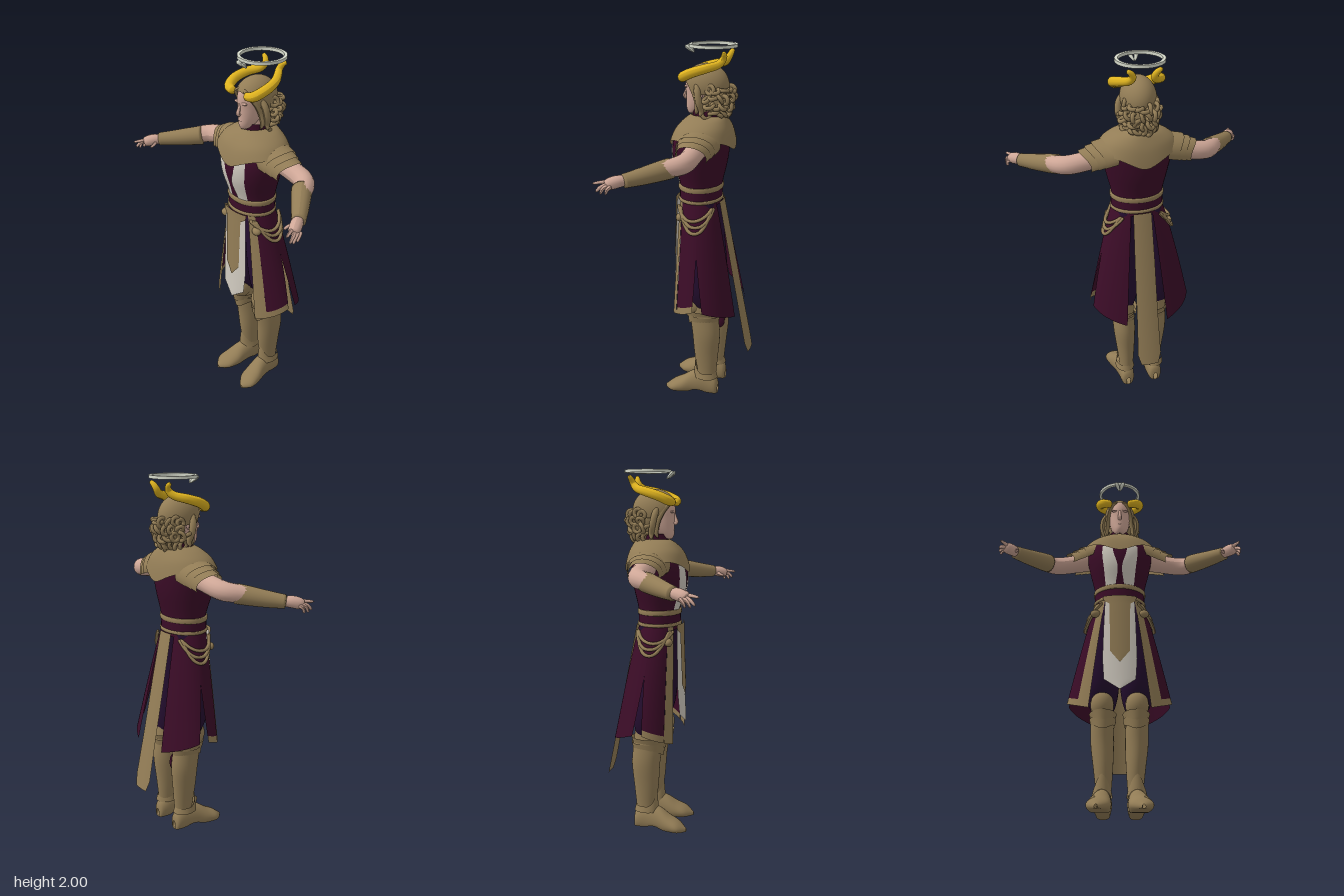
import * as THREE from 'three';
import { mergeVertices } from 'three/addons/utils/BufferGeometryUtils.js';

const mat = (name, color) => {
  const m = new THREE.MeshStandardMaterial({ color, side: THREE.DoubleSide });
  m.name = name;
  return m;
};
const D = Math.PI / 180;
const { lerp, clamp } = THREE.MathUtils;

// Smooth interpolation through rows of numbers, t from 0 to 1
const spline = (rows) => (t) => {
  const s = clamp(t, 0, 1) * (rows.length - 1), i = Math.min(Math.floor(s), rows.length - 2), f = s - i;
  const r = (k) => rows[clamp(k, 0, rows.length - 1)];
  return rows[0].map((_, c) => {
    const a = r(i - 1)[c], b = r(i)[c], d = r(i + 1)[c], e = r(i + 2)[c];
    return b + 0.5 * f * (d - a + f * (2 * a - 5 * b + 4 * d - e + f * (3 * (b - d) + e - a)));
  });
};

// Surface from a rule fn(u, v) -> [x, y, z]
function sheet(fn, nu, nv) {
  const pos = [], idx = [];
  for (let j = 0; j <= nv; j++) for (let i = 0; i <= nu; i++) pos.push(...fn(i / nu, j / nv));
  for (let j = 0; j < nv; j++) for (let i = 0; i < nu; i++) {
    const a = j * (nu + 1) + i, b = a + nu + 1;
    idx.push(a, a + 1, b + 1, a, b + 1, b);
  }
  let g = new THREE.BufferGeometry();
  g.setAttribute('position', new THREE.Float32BufferAttribute(pos, 3));
  g.setIndex(idx);
  g = mergeVertices(g, 1e-5);
  g.computeVertexNormals();
  return g;
}

// Upright loft of ellipses, rows of [y, rx, rz, cx, cz]
function loft(rows, seg = 28, steps = 4) {
  const f = spline(rows);
  return sheet((u, v) => {
    const [y, rx, rz, cx, cz] = f(v), a = Math.PI + u * 2 * Math.PI;
    return [cx + rx * Math.sin(a), y, cz + rz * Math.cos(a)];
  }, seg, (rows.length - 1) * steps);
}

// Tapering tube, points of [x, y, z, radius], closed at both ends
function limb(pts, n = 20, seg = 12) {
  const curve = new THREE.CatmullRomCurve3(pts.map((p) => new THREE.Vector3(...p)));
  const g = new THREE.TubeGeometry(curve, n, 1, seg), p = g.attributes.position;
  const rad = spline(pts.map((q) => [q[3]])), c = new THREE.Vector3(), q = new THREE.Vector3();
  for (let i = 0; i < p.count; i++) {
    const k = Math.floor(i / (seg + 1)), t = k / n;
    curve.getPointAt(t, c);
    const r = k === 0 || k === n ? 0.0005 : rad(curve.getUtoTmapping(t))[0];
    q.fromBufferAttribute(p, i).sub(c).multiplyScalar(r).add(c);
    p.setXYZ(i, q.x, q.y, q.z);
  }
  g.computeVertexNormals();
  return g;
}

const ball = (x, y, z, rx, ry, rz) => new THREE.SphereGeometry(1, 24, 16).scale(rx, ry, rz).translate(x, y, z);

// Hanging strip, rows of [y, half width, z]
const strip = (rows, bend = 2) => sheet((u, v) => {
  const [y, w, z] = spline(rows)(1 - v), x = (u * 2 - 1) * w;
  return [x, y, z - bend * x * x];
}, 8, rows.length - 1);

// Flared skirt: angle in degrees from the front, v from waist to hem
function skirt(a, v, off = 0) {
  const s = Math.sin(a * D), c = Math.cos(a * D);
  const hemY = 0.61 - 0.08 * Math.min(1, Math.abs(a - 95) / 60);
  const e = Math.pow(v, 0.9);
  return [(lerp(0.14, 0.285, e) + off) * s, lerp(1.17, hemY, v), lerp(-0.018, -0.06, e) + (lerp(0.112, c > 0 ? 0.185 : 0.21, e) + off) * c];
}

export function createModel() {
  const tan = mat('tan leather', 0x937d56), plum = mat('plum cloth', 0x3b0c27), dark = mat('dark violet cloth', 0x240e2f);
  const ivory = mat('ivory cloth', 0xd0cabf), skin = mat('skin', 0xcfa797), gold = mat('horn gold', 0xdfb31f), pale = mat('halo silver', 0xd6dacb);
  const root = new THREE.Group();
  root.name = 'hornedKnight';
  const left = new THREE.Group(), right = new THREE.Group();
  left.name = 'leftSide';
  right.name = 'rightSide';
  right.scale.x = -1;
  root.add(left, right);
  const add = (name, geo, m, parent = root) => {
    const mesh = new THREE.Mesh(geo, m);
    mesh.name = name;
    parent.add(mesh);
    return mesh;
  };
  const pair = (name, geo, m) => [left, right].forEach((s) => add(name, geo, m, s));

  // Torso, its ivory panels and the belt
  const torso = [[1.15, 0.138, 0.11, 0, -0.018], [1.25, 0.138, 0.112, 0, -0.02], [1.38, 0.168, 0.145, 0, -0.015], [1.48, 0.186, 0.15, 0, -0.02],
    [1.55, 0.17, 0.135, 0, -0.035], [1.59, 0.1, 0.09, 0, -0.05], [1.605, 0.01, 0.01, 0, -0.05]];
  add('tunic', loft(torso, 36), plum);
  const tf = spline(torso), panelX = spline([[0.024, 0.08], [0.012, 0.09], [0.034, 0.1], [0.045, 0.1]]);
  pair('chestPanel', sheet((u, v) => {
    const [y, rx, rz, , cz] = tf((1.05 + v * 2.2) / 6), [x0, x1] = panelX(v), x = lerp(x0, x1, u);
    return [x, y, cz + rz * Math.sqrt(1 - (x / rx) ** 2) + 0.004];
  }, 6, 14), ivory);
  add('sash', loft([[1.17, 0.142, 0.114, 0, -0.018], [1.25, 0.142, 0.116, 0, -0.019]]), plum);
  for (const [y, h] of [[1.178, 0.01], [1.245, 0.014]]) {
    add('beltBand', loft([[y - h, 0.138, 0.11, 0, -0.018], [y - h + 0.003, 0.147, 0.12, 0, -0.018], [y + h - 0.003, 0.147, 0.12, 0, -0.018], [y + h, 0.138, 0.11, 0, -0.018]]), tan);
  }

  // Shoulder mantle with points at front and back
  const mantle = spline([[0.072, 0.09, 1.632, -0.055], [0.13, 0.118, 1.612, -0.045], [0.185, 0.152, 1.575, -0.035], [0.222, 0.173, 1.525, -0.03]]);
  add('mantle', sheet((u, v) => {
    const a = Math.PI + u * 2 * Math.PI, [rx, rz, y, cz] = mantle(1 - v), c = Math.abs(Math.cos(a));
    return [rx * Math.sin(a), y - (1 - v) ** 2 * (0.05 * c ** 5 + 0.018 * c ** 24), cz + rz * Math.cos(a)];
  }, 64, 14), tan);
  // Layered shoulder plates
  for (let k = 0; k < 3; k++) {
    pair('shoulderPlate', sheet((u, v) => {
      const t = (u * 2 - 1) * 105 * D, s = Math.sin(t);
      const r = lerp(0.085, 0.082, v) - 0.006 * k, x = lerp(0.13 + 0.04 * k, 0.245 + 0.035 * k, v) - 0.05 * s * s * v;
      return [x, 1.5 - 0.012 * k - 0.02 * v + r * Math.cos(t), -0.045 + (0.118 - 0.012 * k - 0.012 * v) * s];
    }, 24, 6), tan);
  }

  // Arms, bracers and hands
  pair('arm', limb([[0.15, 1.5, -0.05, 0.06], [0.26, 1.475, -0.055, 0.052], [0.38, 1.455, -0.04, 0.05], [0.46, 1.44, 0.05, 0.042], [0.55, 1.42, 0.15, 0.03]], 28, 16), skin);
  pair('bracer', limb([[0.405, 1.445, -0.002, 0.052], [0.45, 1.436, 0.044, 0.05], [0.52, 1.422, 0.115, 0.043], [0.592, 1.41, 0.19, 0.035]], 24, 20), tan);
  pair('palm', limb([[0.575, 1.412, 0.175, 0.026], [0.6, 1.41, 0.21, 0.031], [0.62, 1.402, 0.24, 0.03], [0.632, 1.396, 0.26, 0.022]]), skin);
  const fingers = [
    [[0.612, 1.41, 0.235], [0.63, 1.41, 0.275], [0.65, 1.405, 0.315]], [[0.628, 1.405, 0.24], [0.648, 1.39, 0.275], [0.653, 1.365, 0.298]],
    [[0.638, 1.4, 0.235], [0.652, 1.385, 0.26], [0.652, 1.355, 0.276]], [[0.64, 1.398, 0.22], [0.652, 1.382, 0.238], [0.65, 1.355, 0.25]],
    [[0.588, 1.405, 0.205], [0.568, 1.395, 0.23], [0.565, 1.385, 0.258]]];
  for (const f of fingers) pair('finger', limb(f.map((p, i) => [...p, 0.0115 - 0.0025 * i]), 8, 8), skin);

  // Trousers and side skirts
  pair('trouserLeg', loft([[0.54, 0.045, 0.05, 0.09, -0.075], [0.6, 0.076, 0.074, 0.095, -0.066], [0.7, 0.095, 0.096, 0.098, -0.047], [0.9, 0.09, 0.1, 0.088, -0.03], [1.17, 0.065, 0.095, 0.068, -0.02]]), dark);
  const flap = (a0, a1, v0, v1, slit, off = 0) => sheet((u, v) => {
    const w = lerp(v1, v0, v), open = slit * Math.max(0, w - 0.48);
    return skirt(lerp(a0, a1, u) + open * (slit < 0 ? u : 1 - u), w, off);
  }, 16, 12);
  pair('frontFlapTrim', flap(35, 52, 0, 1, 0, 0.002), tan);
  pair('frontFlap', flap(52, 96, 0, 0.94, -14), plum);
  pair('frontFlapHem', flap(52, 88.8, 0.94, 1, 0), tan);
  pair('backFlap', flap(96, 156, 0, 1, 14), plum);
  // Drooping hip cords
  for (const [low, a0, a1] of [[0.1, 38, 138], [0.15, 45, 142], [0.2, 50, 135]]) {
    pair('hipCord', limb(Array.from({ length: 9 }, (_, i) => {
      const t = i / 8;
      return [...skirt(lerp(a0, a1, t), 0.03 + low * 1.15 * Math.sin(t * Math.PI), 0.012), 0.0095];
    }), 30, 8), tan);
  }
  pair('cordKnot', ball(0.135, 1.09, 0.06, 0.028, 0.022, 0.022), tan);

  // Front tabard and long back tail
  add('tabard', strip([[1.16, 0.082, 0.108], [1.0, 0.088, 0.114], [0.8, 0.093, 0.121], [0.68, 0.085, 0.127], [0.62, 0.003, 0.131]]), ivory);
  add('tabardStripe', strip([[1.18, 0.095, 0.115], [1.15, 0.088, 0.115], [1.13, 0.058, 0.116], [1.0, 0.055, 0.12], [0.84, 0.053, 0.126], [0.775, 0.003, 0.129]]), tan);
  add('backTail', strip([[1.17, 0.05, -0.142], [0.9, 0.056, -0.196], [0.6, 0.06, -0.255], [0.34, 0.067, -0.308], [0.28, 0.05, -0.32]], -2), tan);

  // Boots, knee guards, cuffs and shoes
  pair('boot', loft([[0.05, 0.035, 0.048, 0.085, -0.08], [0.13, 0.041, 0.056, 0.083, -0.08], [0.25, 0.052, 0.07, 0.086, -0.077], [0.38, 0.062, 0.08, 0.092, -0.078],
    [0.48, 0.061, 0.082, 0.094, -0.068], [0.58, 0.058, 0.078, 0.094, -0.06]]), tan);
  add('calfPatch', ball(0.048, 0.41, -0.112, 0.02, 0.055, 0.036), plum, right);
  pair('kneeGuard', ball(0.094, 0.58, -0.018, 0.063, 0.082, 0.064), tan);
  const cuff = (y0, h, rx, rz, cz, drop, flare) => sheet((u, v) => {
    const a = Math.PI + u * 2 * Math.PI, c = Math.max(0, Math.cos(a));
    return [0.09 + (rx + flare * v) * Math.sin(a), y0 + h * v - drop * c ** 3 * (1 - v), cz + (rz + flare * v) * Math.cos(a)];
  }, 32, 4);
  pair('kneeCuff', cuff(0.475, 0.035, 0.064, 0.088, -0.064, 0.035, 0.008), tan);
  pair('kneeCuffUpper', cuff(0.51, 0.03, 0.064, 0.094, -0.058, 0.025, 0.01), tan);
  pair('ankleCuff', cuff(0.135, -0.035, 0.047, 0.062, -0.075, -0.075, 0.008), tan);
  const shoe = spline([[-0.148, 0.012, 0.05, 0.085], [-0.135, 0.036, 0.1, 0.085], [-0.07, 0.046, 0.14, 0.085], [0, 0.052, 0.125, 0.093], [0.06, 0.06, 0.085, 0.103], [0.115, 0.054, 0.055, 0.112], [0.16, 0.008, 0.018, 0.116]]);
  pair('shoe', sheet((u, v) => {
    const [z, w, h, cx] = shoe(1 - v), a = u * 2 * Math.PI, c = Math.cos(a);
    const sole = 0.02 * Math.exp(-(((z + 0.03) / 0.04) ** 2));
    return [cx + w * Math.sin(a), Math.max(sole, h * (0.4 + 0.6 * c)), z];
  }, 28, 28), tan);

  // Collar, neck and face
  add('collar', loft([[1.6, 0.07, 0.086, 0, -0.055], [1.63, 0.066, 0.083, 0, -0.055], [1.66, 0.064, 0.08, 0, -0.055]]), plum);
  add('neck', loft([[1.58, 0.045, 0.05, 0, -0.05], [1.72, 0.045, 0.055, 0, -0.05]]), skin);
  add('face', loft([[1.633, 0.004, 0.004, 0, 0.04], [1.638, 0.022, 0.022, 0, 0.03], [1.66, 0.037, 0.052, 0, 0.01], [1.7, 0.052, 0.075, 0, -0.012], [1.75, 0.06, 0.085, 0, -0.021],
    [1.8, 0.062, 0.088, 0, -0.022], [1.85, 0.05, 0.07, 0, -0.025], [1.87, 0.01, 0.01, 0, -0.03]]), skin);
  add('nose', limb([[0, 1.78, 0.058, 0.007], [0, 1.745, 0.067, 0.009], [0, 1.722, 0.073, 0.011], [0, 1.712, 0.058, 0.01]], 12, 10), skin);
  add('lips', ball(0, 1.682, 0.055, 0.017, 0.006, 0.009), skin);
  pair('brow', ball(0.025, 1.778, 0.055, 0.022, 0.007, 0.01), skin);
  pair('ear', ball(0.064, 1.745, -0.03, 0.01, 0.025, 0.016), skin);

  // Hair cap, back mass, side locks and curls
  add('hairCap', sheet((u, v) => {
    const a = Math.PI + u * 2 * Math.PI, th = (1 - v) * (62 + 48 * Math.min(1, (1 - Math.cos(a)) * 1.3)) * D;
    return [0.092 * Math.sin(th) * Math.sin(a), 1.785 + 0.112 * Math.cos(th), -0.045 + 0.122 * Math.sin(th) * Math.cos(a)];
  }, 40, 16), tan);
  add('hairBack', ball(0, 1.715, -0.1, 0.082, 0.095, 0.07), tan);
  pair('frontLock', limb([[0.012, 1.85, 0.05, 0.009], [0.045, 1.825, 0.045, 0.012], [0.068, 1.775, 0.01, 0.014], [0.074, 1.72, -0.015, 0.015], [0.08, 1.67, -0.02, 0.013], [0.075, 1.64, -0.01, 0.006]], 20, 10), tan);
  pair('sideLock', limb([[0.07, 1.8, -0.015, 0.015], [0.095, 1.76, -0.025, 0.018], [0.1, 1.71, -0.035, 0.018], [0.088, 1.66, -0.045, 0.015], [0.1, 1.635, -0.04, 0.007]], 20, 10), tan);
  let seed = 7;
  const rnd = () => (seed = (seed * 16807) % 2147483647) / 2147483647;
  for (let i = 0; i < 38; i++) {
    const row = i % 4, a = (lerp(86, 274, (Math.floor(i / 4) + 0.5 * (row % 2)) / 9.5) + rnd() * 8) * D;
    const curl = add('hairCurl', new THREE.TorusGeometry(0.018 + rnd() * 0.007, 0.011, 7, 14), tan);
    const w = [0.07, 0.088, 0.095, 0.088][row];
    curl.position.set(w * Math.sin(a), 1.64 + row * 0.04 + rnd() * 0.015, -0.07 + (w + 0.016) * Math.cos(a));
    curl.rotation.set(rnd() * 3, a + rnd() * 1.5, rnd() * 3);
  }

  // Horns
  pair('horn', limb([[0.045, 1.825, 0.062, 0.02], [0.095, 1.835, 0.052, 0.026], [0.118, 1.86, 0.0, 0.026], [0.108, 1.882, -0.07, 0.024],
    [0.068, 1.9, -0.128, 0.021], [0.055, 1.922, -0.148, 0.018], [0.066, 1.945, -0.158, 0.015], [0.09, 1.962, -0.163, 0.01]], 44, 14), gold);

  // Halo with a small forked point at the front
  const ring = [[0.109, 1.98], [0.125, 1.98], [0.125, 1.996], [0.109, 1.996], [0.109, 1.98]].map((p) => new THREE.Vector2(...p));
  add('halo', new THREE.LatheGeometry(ring, 64).toNonIndexed().translate(0, 0, -0.082), pale).geometry.computeVertexNormals();
  pair('haloPoint', limb([[0.024, 1.986, 0.062, 0.01], [0.014, 1.97, 0.045, 0.011], [0.002, 1.948, 0.02, 0.005]], 8, 6), pale);
  return root;
}
